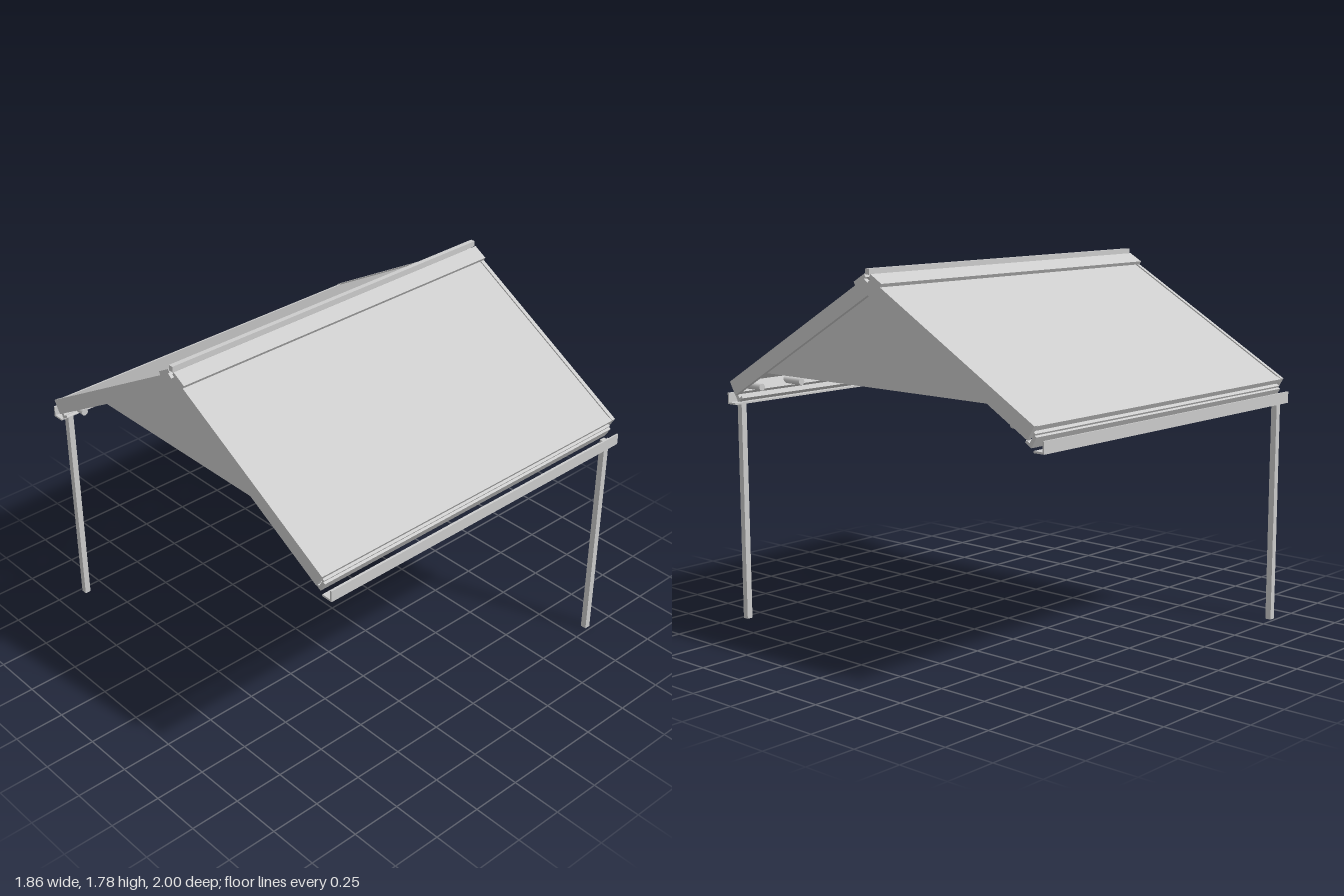
import * as THREE from 'three';

const metal = new THREE.MeshStandardMaterial({ color: 0xcccccc });
metal.name = 'light grey';

const APEX = 1.744, S = 0.5, C = Math.sqrt(3) / 2;

// Point [z, y] at distance d down the front slope and height h off its surface
const slope = (d, h) => [d * C + h * S, APEX - d * S + h * C];
// Rectangle lying along the slope
const bar = (d0, d1, h0, h1) => [slope(d0, h0), slope(d1, h0), slope(d1, h1), slope(d0, h1)];
const rect = (z0, z1, y0, y1) => [[z0, y0], [z1, y0], [z1, y1], [z0, y1]];

// Extrude a [z, y] outline along x from x0 to x1
function prism(name, pts, x0, x1) {
  const shape = new THREE.Shape(pts.map(([z, y]) => new THREE.Vector2(z, y)));
  const geo = new THREE.ExtrudeGeometry(shape, { depth: x1 - x0, bevelEnabled: false });
  geo.rotateY(-Math.PI / 2).translate(x1, 0, 0);
  const mesh = new THREE.Mesh(geo, metal);
  mesh.name = name;
  return mesh;
}

function createHalf(name) {
  const half = new THREE.Group();
  half.name = name;

  // Side rafters, notched at the ridge
  const rafter = [[0, 1.66], slope(1.109, -0.073), slope(1.109, 0), slope(0.025, 0), [0, 1.715]];
  half.add(prism('leftRafter', rafter, 0.908, 0.928));
  half.add(prism('rightRafter', rafter, -0.928, -0.908));

  // Roof sheet and ridge flashing
  half.add(prism('roofPanel', bar(0.03, 1.095, -0.02, -0.006), -0.908, 0.908));
  half.add(prism('ridgeCap', bar(0.012, 0.09, 0, 0.018), -0.928, 0.928));

  // Eave beam with projecting lips and a drip channel below
  half.add(prism('eaveBeam', bar(1.07, 1.1, -0.073, -0.02), -0.908, 0.908));
  half.add(prism('eaveUpperLip', bar(1.085, 1.109, -0.022, -0.003), -0.908, 0.908));
  half.add(prism('eaveLowerLip', bar(1.085, 1.118, -0.048, -0.036), -0.908, 0.908));
  half.add(prism('dripPlate', bar(1.112, 1.13, -0.1, -0.045), -0.908, 0.908));
  half.add(prism('dripFoot', bar(1.09, 1.112, -0.1, -0.088), -0.908, 0.908));

  // Gutter
  half.add(prism('gutterWall', rect(0.992, 1, 1.075, 1.13), -0.912, 0.912));
  half.add(prism('gutterBase', rect(0.943, 0.992, 1.075, 1.084), -0.912, 0.912));

  // One post at the corner
  half.add(prism('post', rect(0.955, 0.985, 0, 1.11), 0.835, 0.865));

  // Row of round pegs under the eave
  const pegGeo = new THREE.CylinderGeometry(0.017, 0.017, 0.14, 16).rotateX(Math.PI / 2);
  for (let i = 0; i < 8; i++) {
    const peg = new THREE.Mesh(pegGeo, metal);
    peg.name = 'eavePeg';
    peg.position.set(-0.87 + i * (1.74 / 7), 1.172, 0.863);
    half.add(peg);
  }
  return half;
}

export function createModel() {
  const model = new THREE.Group();
  model.name = 'gableCanopy';

  // Two identical halves, turned half a circle about the vertical
  const back = createHalf('backHalf');
  back.rotation.y = Math.PI;
  model.add(createHalf('frontHalf'), back);

  // Gable infill triangles, set in from the ends
  const gable = [[-0.75, 1.228], [0.75, 1.228], [0.85, 1.232], [0, 1.722], [-0.85, 1.232]];
  gable[2] = [0.84, 1.228];
  gable[4] = [-0.84, 1.228];
  const outline = [gable[4], gable[2], gable[3]];
  model.add(prism('leftGable', outline, 0.785, 0.8));
  model.add(prism('rightGable', outline, -0.8, -0.785));

  // Ridge bar
  model.add(prism('ridgeBar', rect(-0.012, 0.012, 1.75, 1.777), -0.928, 0.928));
  return model;
}
